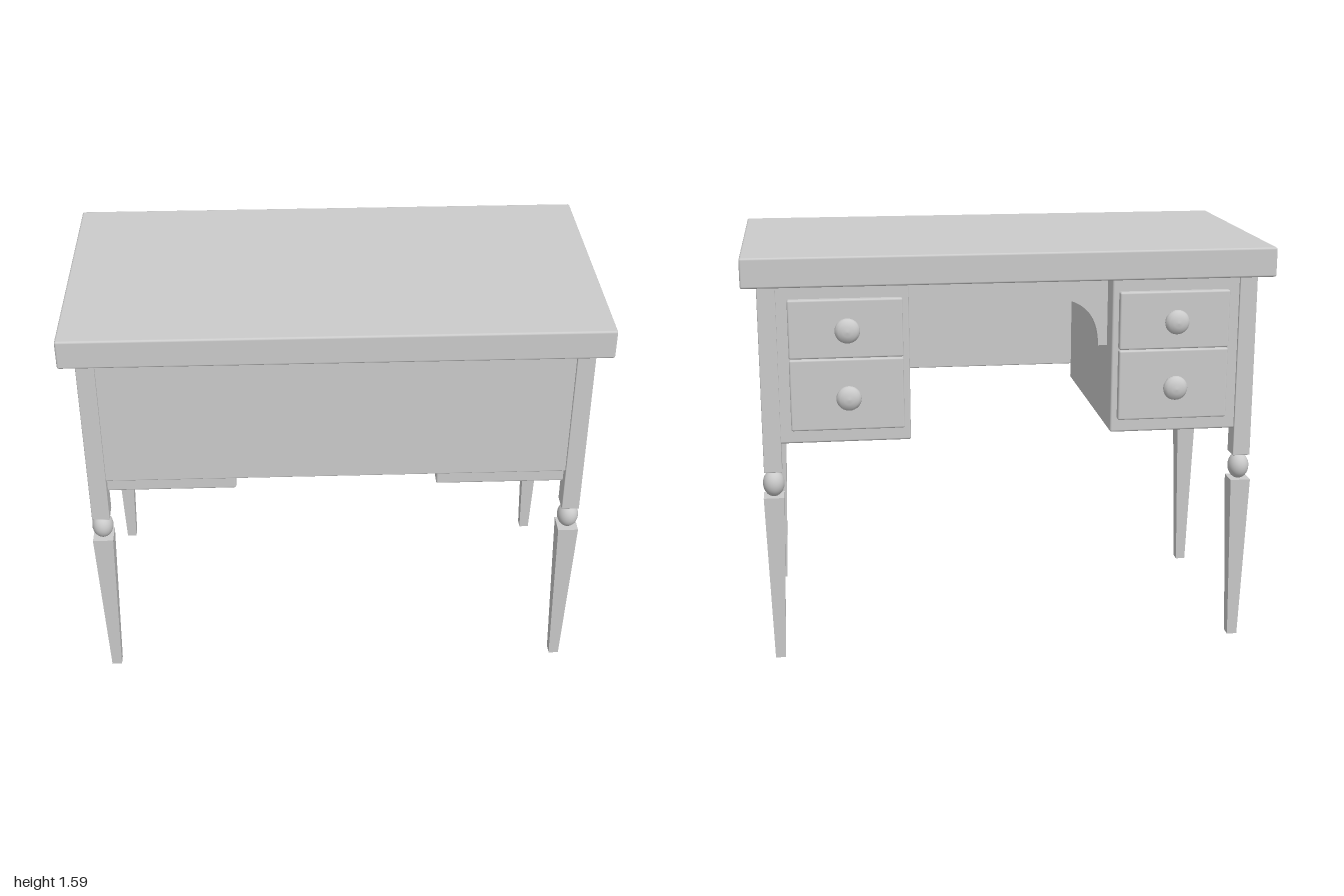
import * as THREE from 'three';
import { RoundedBoxGeometry } from 'three/addons/geometries/RoundedBoxGeometry.js';

const grey = new THREE.MeshStandardMaterial({ color: 0xcccccc });
const greyFlat = new THREE.MeshStandardMaterial({ color: 0xcccccc, flatShading: true });

function add(parent, name, geometry, x = 0, y = 0, z = 0, material = grey) {
  const mesh = new THREE.Mesh(geometry, material);
  mesh.name = name;
  mesh.position.set(x, y, z);
  parent.add(mesh);
  return mesh;
}

// Box with softened edges, given by its minimum and maximum corners
function block(parent, name, [x0, y0, z0], [x1, y1, z1], bevel) {
  const geometry = new RoundedBoxGeometry(x1 - x0, y1 - y0, z1 - z0, 2, bevel);
  return add(parent, name, geometry, (x0 + x1) / 2, (y0 + y1) / 2, (z0 + z1) / 2);
}

// Square post, turned bead and tapered foot
function createLeg(x, z) {
  const leg = new THREE.Group();
  leg.name = 'leg';
  leg.position.set(x, 0, z);
  block(leg, 'legPost', [-0.034, 0.765, -0.039], [0.034, 1.49, 0.039], 0.003);
  add(leg, 'legBead', new THREE.SphereGeometry(1, 28, 18).scale(0.041, 0.052, 0.044), 0, 0.714, 0);
  const taper = new THREE.CylinderGeometry(0.04 * Math.SQRT2, 0.02 * Math.SQRT2, 0.665, 4);
  taper.rotateY(Math.PI / 4).scale(0.98, 1, 1.06);
  add(leg, 'legTaper', taper, 0, 0.3325, 0, greyFlat);
  return leg;
}

// Mushroom knob, turned around the axis that points out of the drawer
function createKnobGeometry() {
  const points = [
    [0, 0], [0.02, 0], [0.016, 0.008], [0.013, 0.018], [0.014, 0.028], [0.022, 0.034],
    [0.036, 0.038], [0.045, 0.046], [0.047, 0.054], [0.044, 0.064], [0.034, 0.074],
    [0.018, 0.08], [0, 0.082],
  ].map(([r, h]) => new THREE.Vector2(r, h));
  return new THREE.LatheGeometry(points, 28).rotateX(-Math.PI / 2);
}

// Drawer pedestal on one side (side = 1 or -1)
function createPedestal(side) {
  const pedestal = new THREE.Group();
  pedestal.name = side > 0 ? 'leftPedestal' : 'rightPedestal';
  const span = (a, b) => (side > 0 ? [a, b] : [-b, -a]);
  const [b0, b1] = span(0.385, 0.888);
  block(pedestal, 'pedestalBody', [b0, 0.875, -0.438], [b1, 1.49, 0.455], 0.008);
  const [d0, d1] = span(0.41, 0.835);
  const knob = createKnobGeometry();
  for (const [y0, y1, knobY] of [[1.205, 1.427, 1.32], [0.929, 1.202, 1.065]]) {
    block(pedestal, 'drawerFront', [d0, y0, -0.464], [d1, y1, -0.425], 0.007);
    add(pedestal, 'drawerKnob', knob, side * 0.618, knobY, -0.463);
  }
  return pedestal;
}

// Apron with a rounded arch over the knee space
function createApronGeometry() {
  const w = 0.387, inner = 0.35, top = 1.485, crown = 1.39, foot = 1.2;
  const shape = new THREE.Shape();
  shape.moveTo(-w, foot);
  shape.lineTo(-inner, foot);
  shape.quadraticCurveTo(-inner, crown, -inner + 0.2, crown);
  shape.lineTo(inner - 0.2, crown);
  shape.quadraticCurveTo(inner, crown, inner, foot);
  shape.lineTo(w, foot);
  shape.lineTo(w, top);
  shape.lineTo(-w, top);
  shape.closePath();
  return new THREE.ExtrudeGeometry(shape, { depth: 0.035, bevelEnabled: false, curveSegments: 16 });
}

export function createModel() {
  const desk = new THREE.Group();
  desk.name = 'desk';

  block(desk, 'tabletop', [-1, 1.48, -0.502], [1, 1.592, 0.545], 0.008);
  block(desk, 'frontPanel', [-0.88, 0.94, 0.44], [0.88, 1.49, 0.482], 0.005);
  add(desk, 'kneeApron', createApronGeometry(), 0, 0, -0.345);

  for (const side of [1, -1]) {
    desk.add(createPedestal(side));
    for (const z of [0.453, -0.409]) desk.add(createLeg(side * 0.91, z));
  }
  return desk;
}
